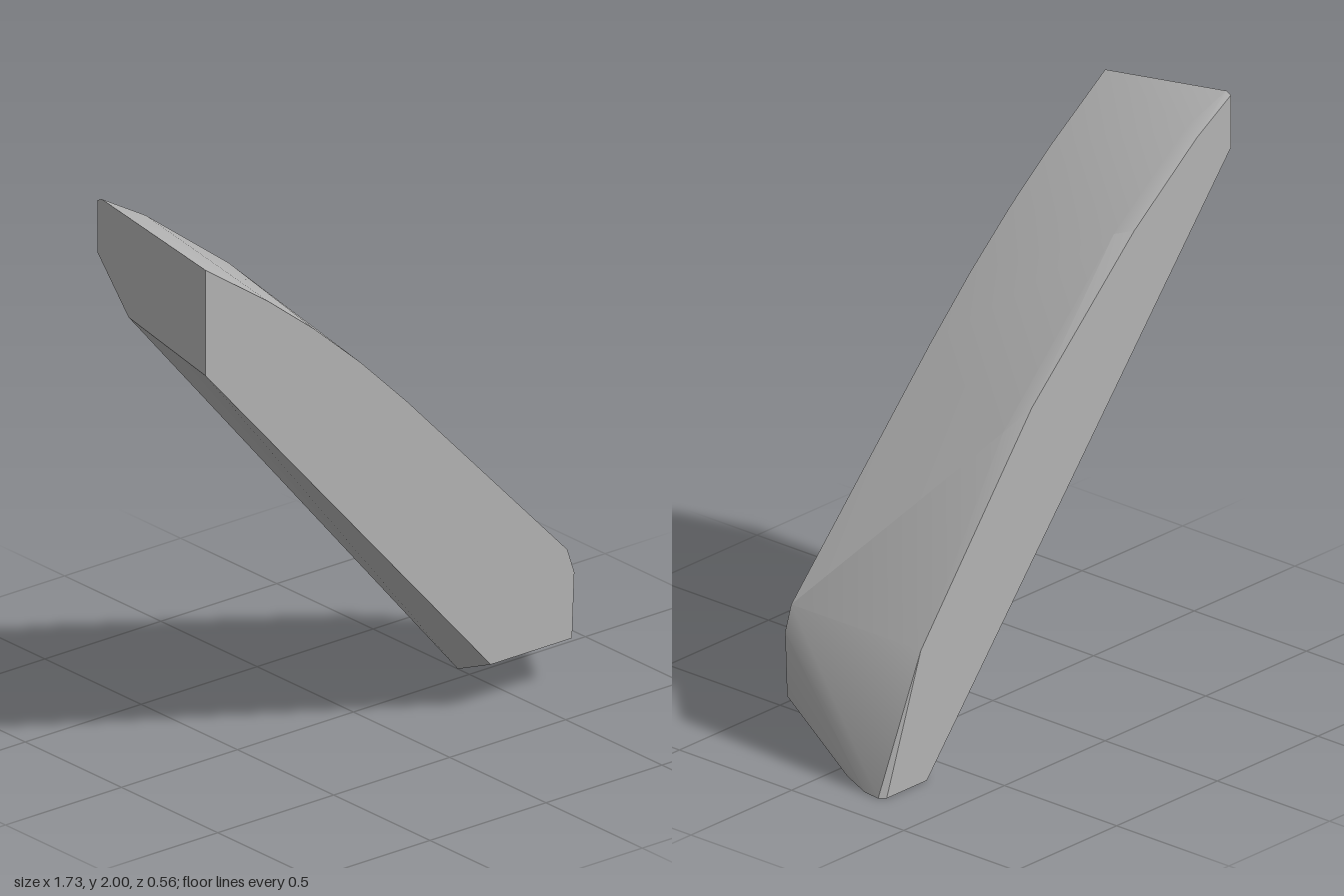
import * as THREE from 'three';
import { ConvexGeometry } from 'three/addons/geometries/ConvexGeometry.js';
import { toCreasedNormals } from 'three/addons/utils/BufferGeometryUtils.js';

// Turns a list of [x, y] corners at one depth into points
const section = (z, corners) => corners.map(([x, y]) => new THREE.Vector3(x, y, z));

export function createModel() {
  const group = new THREE.Group();
  group.name = 'stoneShard';
  const stone = new THREE.MeshStandardMaterial({ color: 0xb4b4b4 });
  stone.name = 'grey stone';

  const points = [
    // front face with its bowed upper edge
    ...section(0.28, [
      [-0.87, 1.54], [-0.87, 1.92], [-0.6, 1.735], [-0.4, 1.58], [-0.2, 1.405], [0, 1.21],
      [0.69, 0.49], [0.72, 0.4], [0.71, 0.165], [0.36, 0.165],
    ]),
    // crest just in front of the back face
    ...section(-0.225, [[-0.71, 1.91], [-0.35, 1.64], [0.2, 1.1]]),
    ...section(-0.26, [[-0.87, 2], [0.86, 0]]),
    // back face
    ...section(-0.28, [
      [-0.87, 1.8], [-0.87, 1.99], [-0.7, 1.89], [-0.39, 1.655], [0.118, 1.18], [0.67, 0.48],
      [0.84, 0], [0.64, 0],
    ]),
    // foot and lower chamfer
    ...section(-0.06, [[0.5, 0], [0.79, 0]]),
    ...section(-0.12, [[-0.87, 1.62], [0.53, 0]]),
    ...section(-0.19, [[0.85, 0]]),
  ];

  const shard = new THREE.Mesh(toCreasedNormals(new ConvexGeometry(points), 0.4), stone);
  shard.name = 'shard';
  group.add(shard);
  return group;
}
